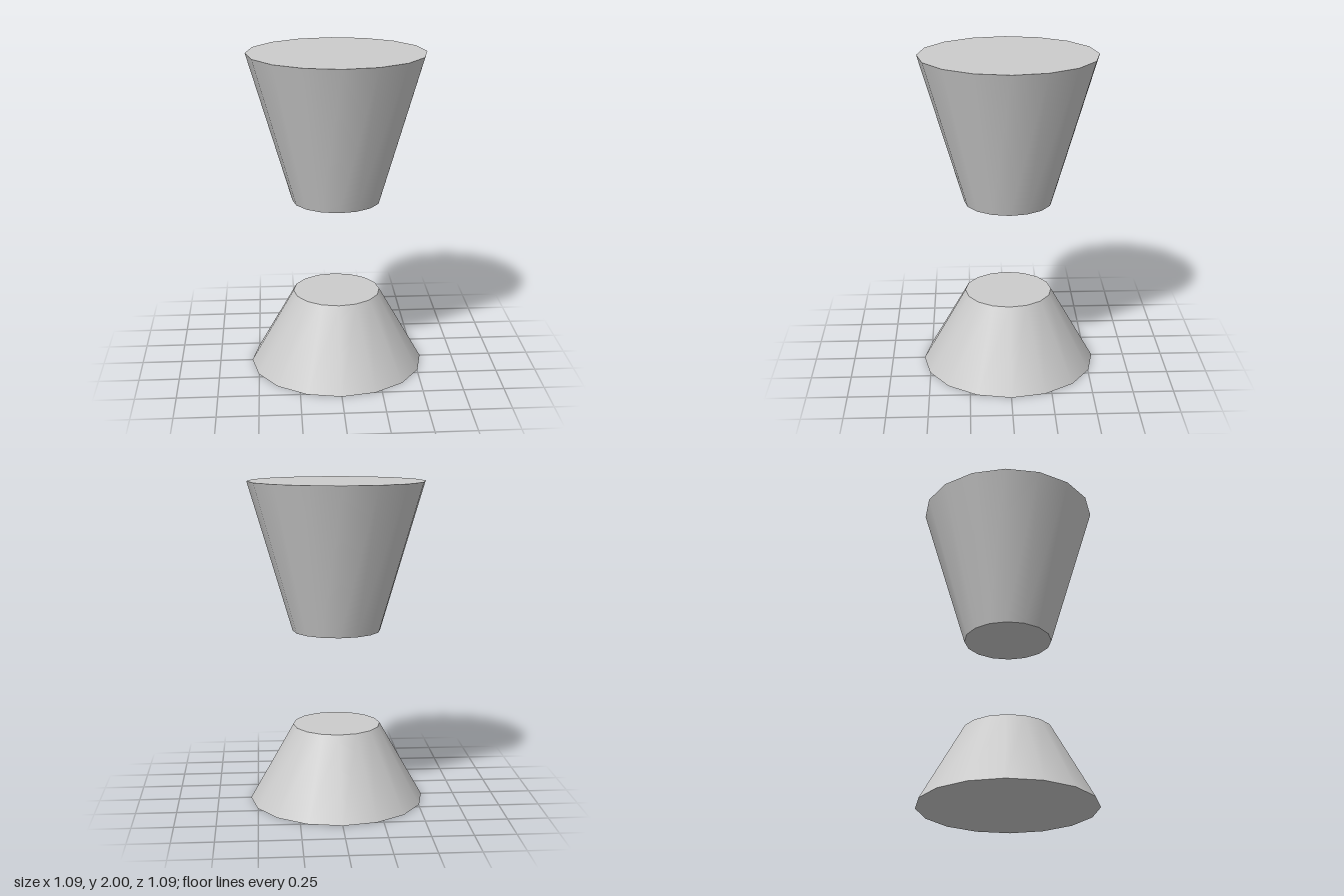
import * as THREE from 'three';

const SIDES = 16;
const WIDE = 0.545;
const NARROW = 0.273;

// Capped, smooth-sided truncated cone spanning two heights
function frustum(name, bottomRadius, topRadius, y0, y1) {
  const geometry = new THREE.CylinderGeometry(topRadius, bottomRadius, y1 - y0, SIDES);
  const mesh = new THREE.Mesh(geometry, new THREE.MeshStandardMaterial({ color: 0xcccccc }));
  mesh.name = name;
  mesh.position.y = (y0 + y1) / 2;
  return mesh;
}

export function createModel() {
  const model = new THREE.Group();
  model.name = 'taperedPair';
  // Base narrows upward; the floating upper part widens upward
  model.add(
    frustum('base', WIDE, NARROW, 0, 0.48),
    frustum('upperCone', NARROW, WIDE, 1.08, 2),
  );
  return model;
}
